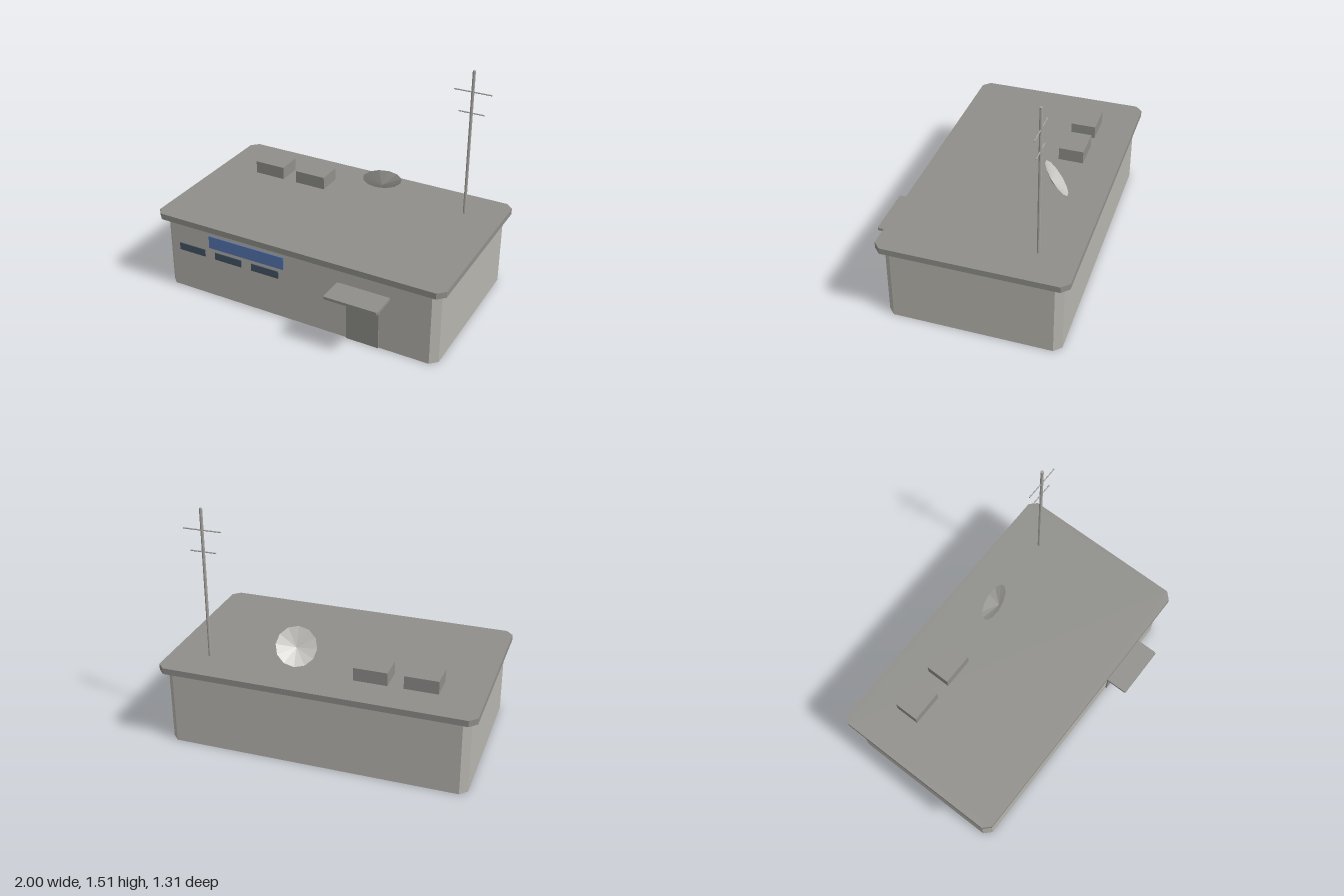
import * as THREE from 'three';

export function createModel() {
  const root = new THREE.Group();
  root.name = 'building';
  const mat = (name, color, side = THREE.FrontSide) => {
    const m = new THREE.MeshStandardMaterial({ color, flatShading: true, side });
    m.name = name;
    return m;
  };
  const wall = mat('wallGrey', 0xb6b4ae);
  const trim = mat('roofGrey', 0x8f8e8a);
  const metal = mat('mastGrey', 0xa5a4a0);
  const dishMat = mat('dishGrey', 0xc6c5c1, THREE.DoubleSide);
  const blue = mat('signBlue', 0x5577b0);
  const glass = mat('windowBlue', 0x445565);

  const add = (name, geo, material) => {
    const mesh = new THREE.Mesh(geo, material);
    mesh.name = name;
    root.add(mesh);
    return mesh;
  };
  // Box given by its lower and upper limits
  const box = (name, m, x0, x1, y0, y1, z0, z1) =>
    add(name, new THREE.BoxGeometry(x1 - x0, y1 - y0, z1 - z0), m)
      .position.set((x0 + x1) / 2, (y0 + y1) / 2, (z0 + z1) / 2);
  // Upright slab with cut corners
  const slab = (name, m, x0, x1, y0, y1, z0, z1, c) => {
    const a = -z1, b = -z0;
    const shape = new THREE.Shape([
      [x0 + c, a], [x1 - c, a], [x1, a + c], [x1, b - c],
      [x1 - c, b], [x0 + c, b], [x0, b - c], [x0, a + c],
    ].map(([x, y]) => new THREE.Vector2(x, y)));
    const geo = new THREE.ExtrudeGeometry(shape, { depth: y1 - y0, bevelEnabled: false });
    geo.rotateX(-Math.PI / 2).translate(0, y0, 0);
    return add(name, geo, m);
  };

  // Main volume and overhanging roof
  slab('walls', wall, -0.96, 0.96, 0, 0.497, -0.612, 0.482, 0.045);
  slab('roof', trim, -1, 1, 0.495, 0.535, -0.655, 0.525, 0.046);

  // Entrance
  box('door', trim, 0.367, 0.585, 0, 0.333, 0.481, 0.49);
  slab('canopy', trim, 0.3, 0.653, 0.364, 0.382, 0.478, 0.655, 0.007);

  // Sign and windows
  box('sign', blue, -0.62, -0.072, 0.357, 0.443, 0.481, 0.49);
  for (const x of [-0.755, -0.482, -0.21])
    box('window', glass, x - 0.098, x + 0.098, 0.28, 0.33, 0.481, 0.488);

  // Rooftop units
  for (const x of [-0.62, -0.306])
    box('roofUnit', trim, x - 0.107, x + 0.107, 0.535, 0.62, -0.425, -0.262);

  // Shallow conical dish, open towards the sky at the back
  const h = 0.042;
  const dishGeo = new THREE.ConeGeometry(0.128, h, 12, 1, true).translate(0, h / 2, 0);
  const dish = add('dish', dishGeo, dishMat);
  dish.quaternion.setFromUnitVectors(
    new THREE.Vector3(0, 1, 0), new THREE.Vector3(0.3, -0.575, 0.76).normalize());
  dish.position.set(0.188, 0.665, -0.355);

  // Mast with two crossbars
  add('mast', new THREE.CylinderGeometry(0.01, 0.01, 0.976, 8), metal)
    .position.set(0.75, 1.022, -0.408);
  for (const [y, len] of [[1.373, 0.245], [1.235, 0.167]]) {
    const bar = add('crossbar', new THREE.CylinderGeometry(0.004, 0.004, len, 6), metal);
    bar.rotation.z = Math.PI / 2;
    bar.position.set(0.751, y, -0.408);
  }
  return root;
}
